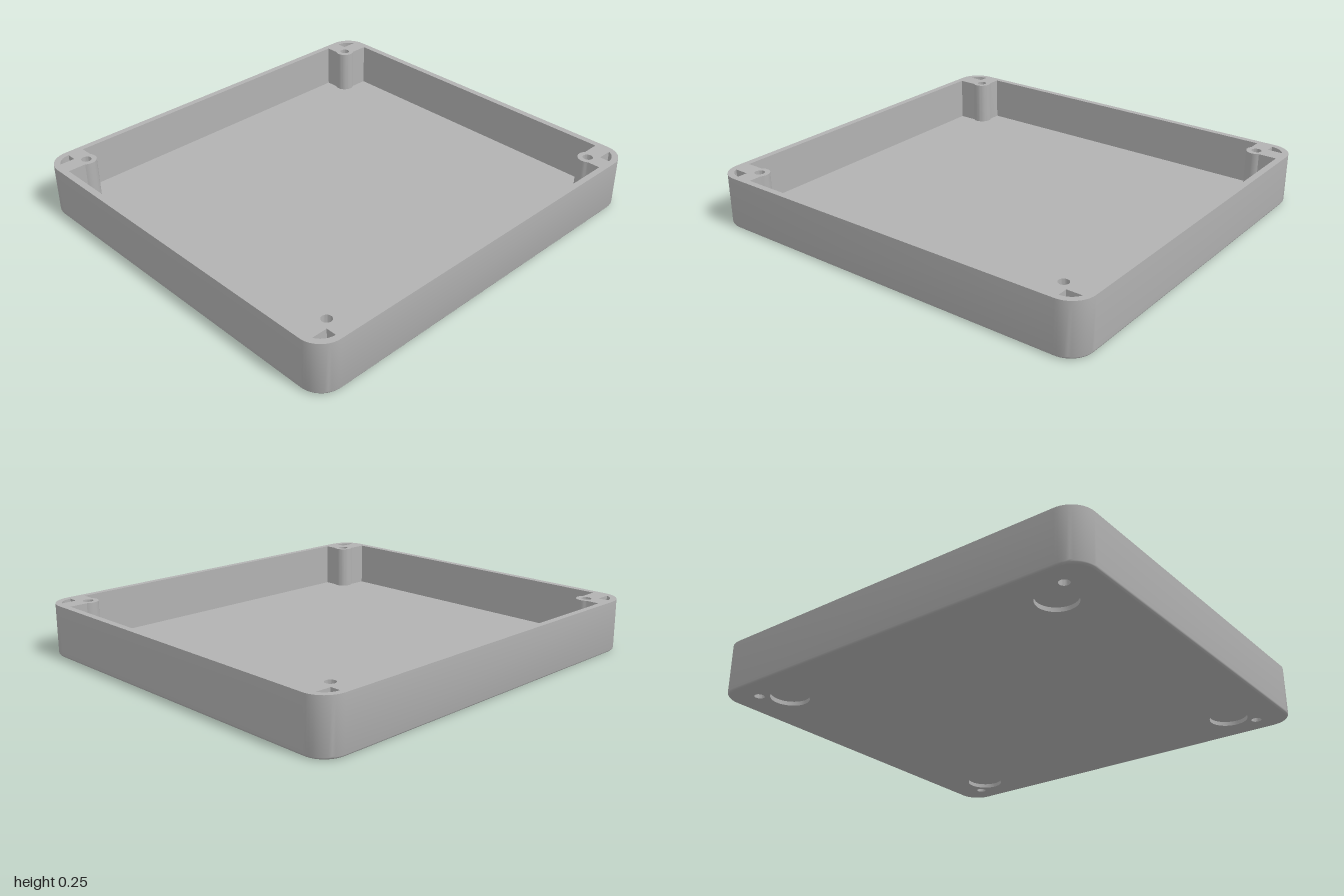
import * as THREE from 'three';
import { toCreasedNormals } from 'three/addons/utils/BufferGeometryUtils.js';

const HALF_X = 0.935, HALF_Z = 1, HEIGHT = 0.25, CORNER = 0.11;
const FILLET = 0.015, FLOOR = 0.035, RECESS = 0.02;

// Points on an arc, from angle a0 to a1
function arc(cx, cy, r, a0, a1, n) {
  return Array.from({ length: n + 1 }, (_, i) => {
    const a = a0 + (a1 - a0) * i / n;
    return new THREE.Vector2(cx + r * Math.cos(a), cy + r * Math.sin(a));
  });
}
const circle = (cx, cy, r, n) => arc(cx, cy, r, 0, Math.PI * 2, n).slice(0, n);

// Repeats a counter-clockwise point list in all four quadrants, keeping its winding
function quadrants(points) {
  return [[1, 1], [-1, 1], [-1, -1], [1, -1]].map(([sx, sy]) => {
    const p = points.map(v => new THREE.Vector2(v.x * sx, v.y * sy));
    return sx * sy < 0 ? p.reverse() : p;
  });
}

// Rounded outline, moved inwards by inset
const outline = inset => quadrants(
  arc(HALF_X - CORNER, HALF_Z - CORNER, CORNER - inset, 0, Math.PI / 2, 12)).flat();

// Wall lofted through rings of [points, y]; inward walls face the ring's middle
function loft(rings, inward = false) {
  const n = rings[0][0].length, pos = [], index = [];
  rings.forEach(([pts, y]) => pts.forEach(p => pos.push(p.x, y, -p.y)));
  for (let r = 0; r < rings.length - 1; r++) {
    for (let i = 0; i < n; i++) {
      const a = r * n + i, b = r * n + (i + 1) % n, c = b + n, d = a + n;
      index.push(...(inward ? [a, c, b, a, d, c] : [a, b, c, a, c, d]));
    }
  }
  const g = new THREE.BufferGeometry();
  g.setAttribute('position', new THREE.Float32BufferAttribute(pos, 3));
  g.setIndex(index);
  return toCreasedNormals(g, 0.6);
}

// Flat horizontal face with holes, facing up or down
function face(points, y, up = true, holes = []) {
  const s = new THREE.Shape(points);
  s.holes = holes.map(h => new THREE.Path(h));
  const g = new THREE.ShapeGeometry(s);
  if (!up) {
    const id = g.index.array;
    for (let i = 0; i < id.length; i += 3) [id[i], id[i + 1]] = [id[i + 1], id[i]];
    g.computeVertexNormals();
  }
  return g.rotateX(-Math.PI / 2).translate(0, y, 0);
}

export function createModel() {
  const model = new THREE.Group();
  model.name = 'enclosureTray';
  const grey = new THREE.MeshStandardMaterial({ color: 0xb2b2b2 });
  grey.name = 'grey plastic';
  const add = (name, geometry) => {
    const m = new THREE.Mesh(geometry, grey);
    m.name = name;
    model.add(m);
  };

  // Cavity outline, stepping round a rounded screw boss in each corner
  const cavity = quadrants([
    new THREE.Vector2(0.905, 0.811),
    ...arc(0.815, 0.85, 0.048, -0.948, -3.833, 20),
    new THREE.Vector2(0.778, 0.968),
  ]).flat();
  const screwHoles = quadrants(circle(0.815, 0.85, 0.024, 24));
  const recesses = quadrants(circle(0.72, 0.75, 0.09, 40));
  const pockets = quadrants([
    new THREE.Vector2(0.857, 0.89),
    ...arc(0.825, 0.89, 0.08, 0, 1.159, 10),
  ]);

  // Outer shell with a small fillet round the bottom edge
  const rings = [];
  for (let i = 0; i <= 5; i++) {
    const a = i / 5 * Math.PI / 2;
    rings.push([outline(FILLET * (1 - Math.sin(a))), FILLET * (1 - Math.cos(a))]);
  }
  rings.push([outline(0), HEIGHT]);
  add('outerShell', loft(rings));
  add('underside', face(outline(FILLET), 0, false, [...screwHoles, ...recesses]));

  // Rim and inside
  add('rim', face(outline(0), HEIGHT, true, [cavity, ...screwHoles, ...pockets]));
  add('innerWall', loft([[cavity, FLOOR], [cavity, HEIGHT]], true));
  add('floor', face(cavity, FLOOR));

  // Corner details
  for (let i = 0; i < 4; i++) {
    add('screwHole', loft([[screwHoles[i], 0], [screwHoles[i], HEIGHT]], true));
    add('cornerPocketWall', loft([[pockets[i], FLOOR], [pockets[i], HEIGHT]], true));
    add('cornerPocketFloor', face(pockets[i], FLOOR));
    add('footRecessWall', loft([[recesses[i], 0], [recesses[i], RECESS]], true));
    add('footRecessFace', face(recesses[i], RECESS, false));
  }
  return model;
}
